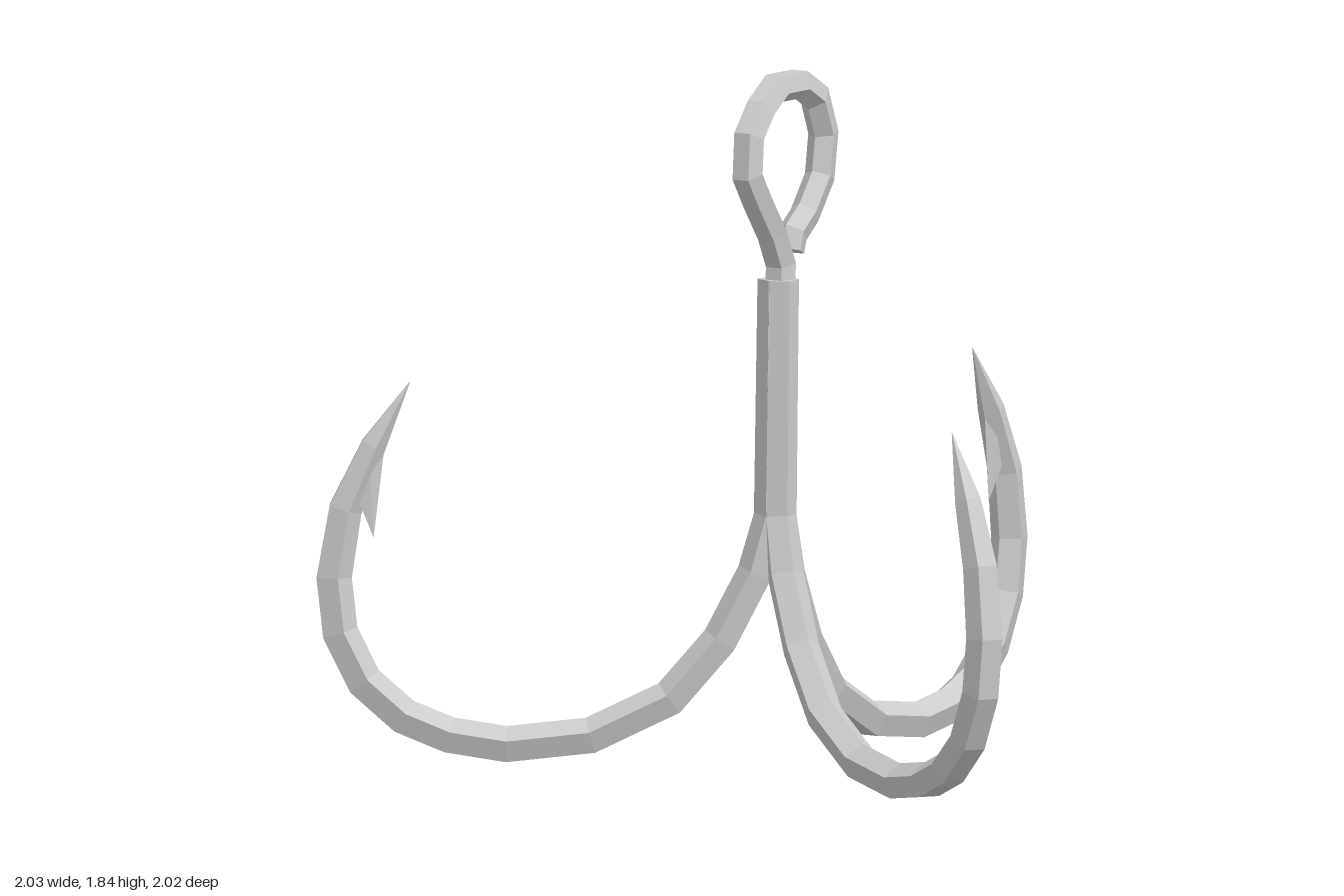
import * as THREE from 'three';
import { ConvexGeometry } from 'three/addons/geometries/ConvexGeometry.js';

const material = new THREE.MeshStandardMaterial({ color: 0xcccccc, flatShading: true });
const SIDES = 5;

// Five-sided wire swept with mitred joints along a planar path of [x, y, radius].
// side = 1 puts the cross-section's ridge left of the travel direction, -1 right.
function wire(path, side) {
  const pts = path.map(([x, y]) => new THREE.Vector2(x, y));
  const dirs = pts.slice(1).map((p, i) => p.clone().sub(pts[i]).normalize());
  const pos = [], index = [];
  pts.forEach((p, i) => {
    const before = dirs[Math.max(i - 1, 0)], after = dirs[Math.min(i, dirs.length - 1)];
    const t = before.clone().add(after).normalize();
    const r = path[i][2], miter = 1 / t.dot(after);
    for (let k = 0; k < SIDES; k++) {
      const a = (k / SIDES) * Math.PI * 2;
      const n = Math.cos(a) * r * miter * side;
      pos.push(p.x - t.y * n, p.y + t.x * n, Math.sin(a) * r * side);
    }
  });
  for (let i = 0; i < pts.length - 1; i++) {
    for (let k = 0; k < SIDES; k++) {
      const a = i * SIDES + k, b = i * SIDES + (k + 1) % SIDES;
      index.push(a, b, b + SIDES, a, b + SIDES, a + SIDES);
    }
  }
  // End caps
  const last = (pts.length - 1) * SIDES;
  for (let k = 1; k < SIDES - 1; k++) {
    index.push(0, k + 1, k, last, last + k, last + k + 1);
  }
  const geo = new THREE.BufferGeometry();
  geo.setAttribute('position', new THREE.Float32BufferAttribute(pos, 3));
  geo.setIndex(index);
  const flat = geo.toNonIndexed();
  flat.computeVertexNormals();
  return flat;
}

function part(name, geometry) {
  const mesh = new THREE.Mesh(geometry, material);
  mesh.name = name;
  return mesh;
}

// Shank, bend and tapering point: distance from the axis, height, radius
const hookPath = [
  [0.01, 1.33, 0.047], [0.012, 0.71, 0.047], [0.05, 0.56, 0.05], [0.14, 0.38, 0.05],
  [0.27, 0.225, 0.05], [0.475, 0.123, 0.05], [0.695, 0.096, 0.05], [0.845, 0.118, 0.05],
  [0.965, 0.166, 0.05], [1.07, 0.257, 0.05], [1.135, 0.385, 0.05], [1.153, 0.53, 0.05],
  [1.125, 0.71, 0.047], [1.053, 0.877, 0.036], [0.958, 1.045, 0.001],
];

// Open ring bent from the wire at the top
const eyePath = [
  [0, 1.25], [0.005, 1.37], [-0.04, 1.455], [-0.115, 1.55], [-0.165, 1.62], [-0.16, 1.72],
  [-0.105, 1.785], [-0.03, 1.835], [0.08, 1.835], [0.165, 1.79], [0.21, 1.69],
  [0.195, 1.58], [0.125, 1.49], [0.065, 1.445], [0.05, 1.4],
].map(([x, y]) => [x, y, 0.041]);

// Thin spike pointing back down from the inside of the point
const barbCorners = [
  [1.022, 0.87, 0], [1.06, 0.85, 0.025], [1.06, 0.85, -0.025],
  [1.055, 0.745, 0], [1.09, 0.74, 0.02], [1.09, 0.74, -0.02],
  [1.047, 0.635, 0],
].map((c) => new THREE.Vector3(...c));

export function createModel() {
  const model = new THREE.Group();
  model.name = 'trebleHook';

  // Whole hook leans slightly backward
  const body = new THREE.Group();
  body.name = 'body';
  body.position.set(0.148, -0.014, 0.17);
  body.rotation.x = -0.041;
  model.add(body);

  const hookGeometry = wire(hookPath, 1);
  const barbGeometry = new ConvexGeometry(barbCorners);

  // Three hooks spaced evenly around the shank
  [45, 165, 285].forEach((deg, i) => {
    const hook = new THREE.Group();
    hook.name = ['leftHook', 'rightHook', 'backHook'][i];
    hook.rotation.y = -THREE.MathUtils.degToRad(deg);
    hook.add(part('hookWire', hookGeometry), part('barb', barbGeometry));
    if (i === 2) hook.add(part('eye', wire(eyePath, -1)));
    body.add(hook);
  });
  return model;
}
